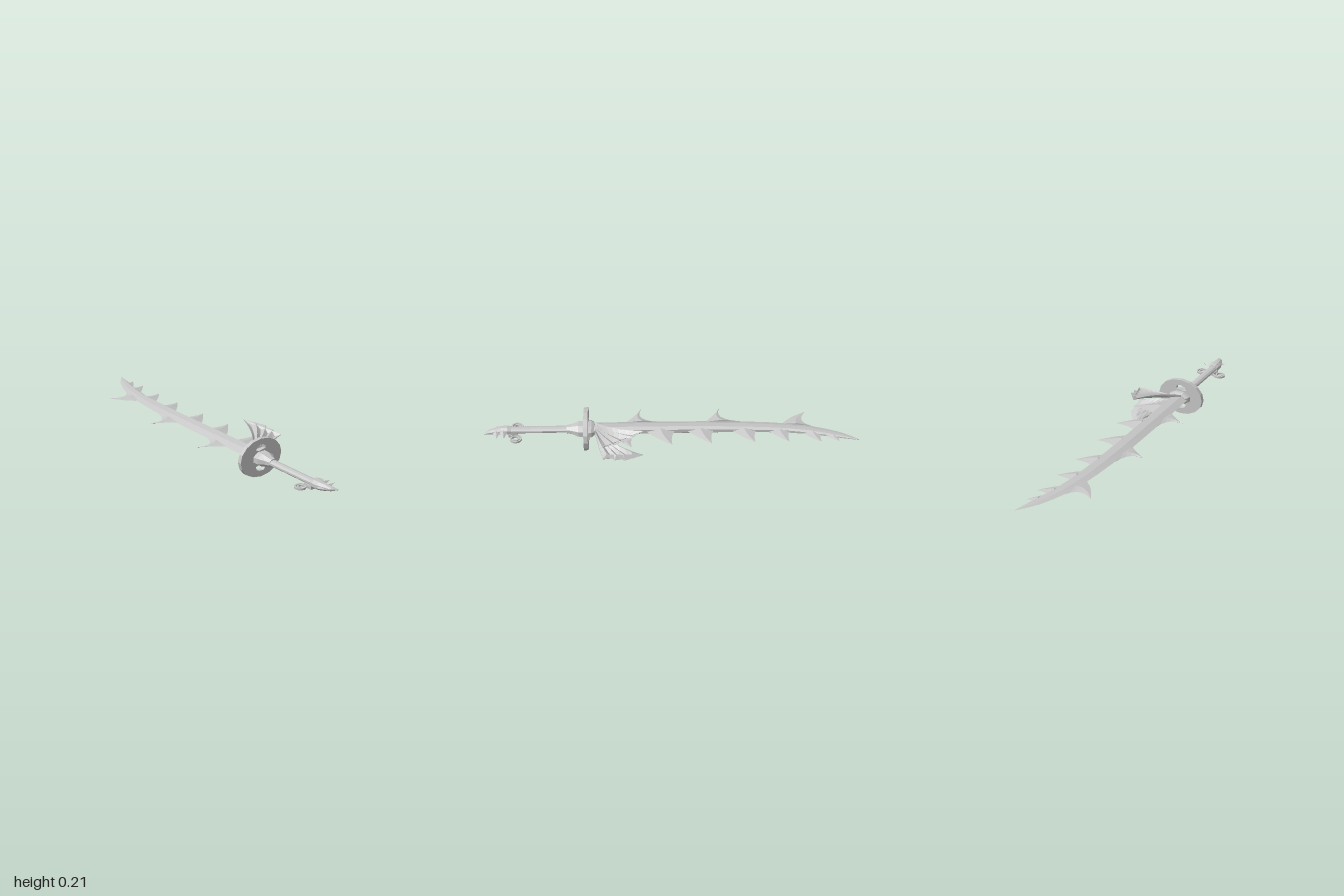
import * as THREE from 'three';
import { mergeVertices } from 'three/addons/utils/BufferGeometryUtils.js';

const MID = 0.106; // height of the blade's centre plane
const AXIS = -0.02; // x of the grip axis
const V = (x, y, z) => new THREE.Vector3(x, y, z);

// Closed solid through rings of points, wound so that faces look outward
function loft(rings) {
  const n = rings[0].length, tris = [];
  for (let i = 0; i < rings.length - 1; i++)
    for (let j = 0; j < n; j++) {
      const k = (j + 1) % n, a = rings[i], b = rings[i + 1];
      tris.push([a[j], a[k], b[k]], [a[j], b[k], b[j]]);
    }
  const last = rings[rings.length - 1];
  for (let j = 1; j < n - 1; j++)
    tris.push([rings[0][0], rings[0][j + 1], rings[0][j]], [last[0], last[j], last[j + 1]]);
  const o = rings[0][0];
  let volume = 0;
  for (const [a, b, c] of tris)
    volume += a.clone().sub(o).dot(b.clone().sub(o).cross(c.clone().sub(o)));
  if (volume < 0) tris.forEach((t) => t.reverse());
  const g = new THREE.BufferGeometry().setFromPoints(tris.flat());
  g.computeVertexNormals();
  return g;
}

// Elliptical sections along z: [z, rx, ry, centre x]
function stem(sections, sides) {
  return loft(sections.map(([z, rx, ry, cx = AXIS]) =>
    Array.from({ length: sides }, (_, i) => {
      const a = ((i + 0.5) / sides) * Math.PI * 2;
      return V(cx + Math.cos(a) * rx, MID + Math.sin(a) * ry, z);
    })));
}

// Curved thorn between two edges meeting at a tip; points are [x, z]
function thorn(low, lowCtrl, high, highCtrl, tip, half) {
  const curve = (a, c, b) => new THREE.QuadraticBezierCurve(
    new THREE.Vector2(...a), new THREE.Vector2(...c), new THREE.Vector2(...b));
  const cl = curve(low, lowCtrl, tip), ch = curve(high, highCtrl, tip), rings = [];
  for (let i = 0; i <= 6; i++) {
    const t = (i / 6) * 0.995, a = cl.getPoint(t), b = ch.getPoint(t);
    const m = a.clone().lerp(b, 0.5), h = half * (1 - t);
    rings.push([V(a.x, MID, a.y), V(m.x, MID + h, m.y), V(b.x, MID, b.y), V(m.x, MID - h, m.y)]);
  }
  return loft(rings);
}

// Ribbed fan: curved ribs from a shared root with lower, shorter webs between
function fan(side) {
  const ribs = [ // middle and tip of each rib
    [[0.075, 0.163, 0.315], [0.118, 0.185, 0.15]],
    [[0.085, 0.16, 0.33], [0.155, 0.177, 0.205]],
    [[0.095, 0.153, 0.345], [0.19, 0.165, 0.25]],
    [[0.1, 0.146, 0.365], [0.198, 0.156, 0.3]],
    [[0.095, 0.138, 0.39], [0.2, 0.146, 0.362]],
  ];
  const lines = [], N = 7;
  const rib = ([m, t], i) => new THREE.QuadraticBezierCurve3(
    V(-0.04 + i * 0.008, 0.135 - i * 0.004, 0.41), V(...m), V(...t));
  ribs.forEach((r, i) => {
    lines.push(rib(r, i).getPoints(N));
    if (i < ribs.length - 1) {
      const a = rib(r, i), b = rib(ribs[i + 1], i + 1);
      lines.push(Array.from({ length: N + 1 }, (_, k) => {
        const t = (k / N) * 0.88;
        return a.getPoint(t).lerp(b.getPoint(t), 0.5).add(V(0, -0.014 * Math.sin(Math.min(1, t * 2) * 1.57), 0));
      }));
    }
  });
  // Top skin plus an underside that thins out toward the tips
  const rings = [];
  for (let k = 0; k <= N; k++) {
    const top = lines.map((l) => l[k]);
    const under = top.map((p) => V(p.x, p.y - 0.012 * (1 - k / N) - 0.002, p.z)).reverse();
    rings.push([...top, ...under].map((p) => V(p.x, MID + side * (p.y - MID), p.z)));
  }
  return loft(rings);
}

export function createModel() {
  const group = new THREE.Group();
  const steel = new THREE.MeshStandardMaterial({ color: 0xc6c6c6, flatShading: true, side: THREE.DoubleSide });
  steel.name = 'grey steel';
  const add = (name, geometry) => {
    const mesh = new THREE.Mesh(geometry, steel);
    mesh.name = name;
    group.add(mesh);
    return mesh;
  };

  // Blade: [z, cutting edge x, spine x, half thickness]
  const blade = [
    [0.43, -0.075, 0.016, 0.024], [0.2, -0.075, 0.016, 0.024], [0, -0.074, 0.016, 0.023],
    [-0.2, -0.072, 0.017, 0.021], [-0.4, -0.064, 0.022, 0.018], [-0.52, -0.054, 0.028, 0.016],
    [-0.63, -0.04, 0.036, 0.014], [-0.74, -0.018, 0.054, 0.012], [-0.83, 0.014, 0.076, 0.009],
    [-0.9, 0.045, 0.095, 0.007], [-0.96, 0.085, 0.11, 0.004], [-1, 0.118, 0.12, 0.001],
  ];
  add('blade', loft(blade.map(([z, l, r, h]) => {
    const w = r - l, m = l + w * 0.4, s = r - w * 0.17;
    return [V(l, MID, z), V(m, MID + h * 0.75, z), V(s, MID + h, z), V(r, MID + h * 0.45, z),
      V(r, MID - h * 0.45, z), V(s, MID - h, z), V(m, MID - h * 0.75, z)];
  })));

  // Large hooked thorns on the cutting edge
  for (const [tip, x] of [[0.155, -0.07], [-0.275, -0.066]])
    add('edgeThorn', thorn([x, tip + 0.09], [-0.11, tip + 0.045], [x, tip - 0.1],
      [-0.09, tip + 0.055], [-0.2, tip], 0.012));
  add('edgeThorn', thorn([-0.035, -0.6], [-0.095, -0.635], [-0.015, -0.76], [-0.05, -0.67], [-0.145, -0.735], 0.011));

  // Row of thorns on the spine: [tip x, tip z, base x, length of base]
  const spine = [
    [0.155, 0.21, 0.01, 0.14], [0.137, -0.005, 0.01, 0.14], [0.13, -0.215, 0.01, 0.13],
    [0.125, -0.445, 0.015, 0.12], [0.125, -0.625, 0.026, 0.1], [0.13, -0.795, 0.05, 0.09],
    [0.125, -0.89, 0.078, 0.07],
  ];
  for (const [tx, tz, bx, len] of spine) {
    const c = bx + (tx - bx) * 0.5;
    add('spineThorn', thorn([bx, tz + len], [c, tz + len * 0.65], [bx, tz - len * 0.12],
      [c - 0.01, tz + len * 0.08], [tx, tz], 0.018 * len / 0.14));
  }

  // Sixteen-sided oval guard with two kidney-shaped openings
  const disc = new THREE.Shape(Array.from({ length: 16 }, (_, i) => {
    const a = (i / 16) * Math.PI * 2;
    return new THREE.Vector2(-0.021 + Math.cos(a) * 0.134, MID + Math.sin(a) * 0.104);
  }));
  for (const s of [1, -1]) {
    const hole = [[-0.056, 0.044], [-0.048, 0.063], [-0.032, 0.071], [-0.006, 0.072],
      [0.005, 0.061], [0.007, 0.046], [-0.014, 0.044], [-0.035, 0.039]];
    disc.holes.push(new THREE.Path(hole.map(([x, y]) => new THREE.Vector2(x, MID + s * y))));
  }
  const guard = add('guard', new THREE.ExtrudeGeometry(disc, { depth: 0.023, bevelEnabled: false }));
  guard.position.z = 0.442;

  // Collars on both sides of the guard, and the grip
  add('bladeCollar', stem([[0.445, 0.066, 0.038], [0.425, 0.064, 0.036], [0.41, 0.05, 0.028]], 8));
  add('gripCollar', stem([[0.46, 0.058, 0.038], [0.495, 0.055, 0.038], [0.53, 0.034, 0.027], [0.557, 0.026, 0.022]], 8));
  add('grip', stem([[0.55, 0.024, 0.016], [0.87, 0.024, 0.016]], 10));

  // Pommel with side fins and a pointed end
  add('pommel', stem([[0.855, 0.027, 0.019], [0.875, 0.03, 0.024], [0.91, 0.028, 0.022],
    [0.945, 0.023, 0.017, -0.012], [0.975, 0.017, 0.01, -0.004], [0.998, 0.003, 0.002, 0.012]], 8));
  add('pommelFin', thorn([0, 0.925], [0.025, 0.9], [0, 0.87], [0.03, 0.885], [0.062, 0.888], 0.014));
  add('pommelFin', thorn([-0.005, 0.965], [0.02, 0.94], [0, 0.9], [0.02, 0.925], [0.062, 0.925], 0.012));
  add('pommelFin', thorn([-0.025, 0.96], [-0.035, 0.935], [-0.035, 0.89], [-0.045, 0.91], [-0.056, 0.938], 0.01));

  // Two flat scrolls under the end of the grip
  for (const s of [1, -1]) {
    const pivot = new THREE.Group();
    pivot.name = 'scroll';
    const rings = [];
    for (let i = 0; i <= 36; i++) {
      const t = i / 36, a = t * Math.PI * 3.6 + Math.PI * 0.75, r = 0.036 - 0.024 * t;
      const at = (q, y) => V(AXIS + s * (0.056 - Math.cos(a) * q * -1), y, 0.83 + Math.sin(a) * q);
      rings.push([at(r + 0.004, 0.081), at(r + 0.004, 0.091), at(r - 0.004, 0.091), at(r - 0.004, 0.081)]);
    }
    const curl = new THREE.Mesh(mergeVertices(loft(rings)), steel);
    curl.name = 'scrollCurl';
    pivot.add(curl);
    group.add(pivot);
  }
  const clasp = add('scrollClasp', new THREE.BoxGeometry(0.05, 0.02, 0.05));
  clasp.position.set(AXIS, 0.086, 0.845);

  // Mirrored pair of fans beside the blade root
  add('upperFan', fan(1));
  add('lowerFan', fan(-1));
  return group;
}
